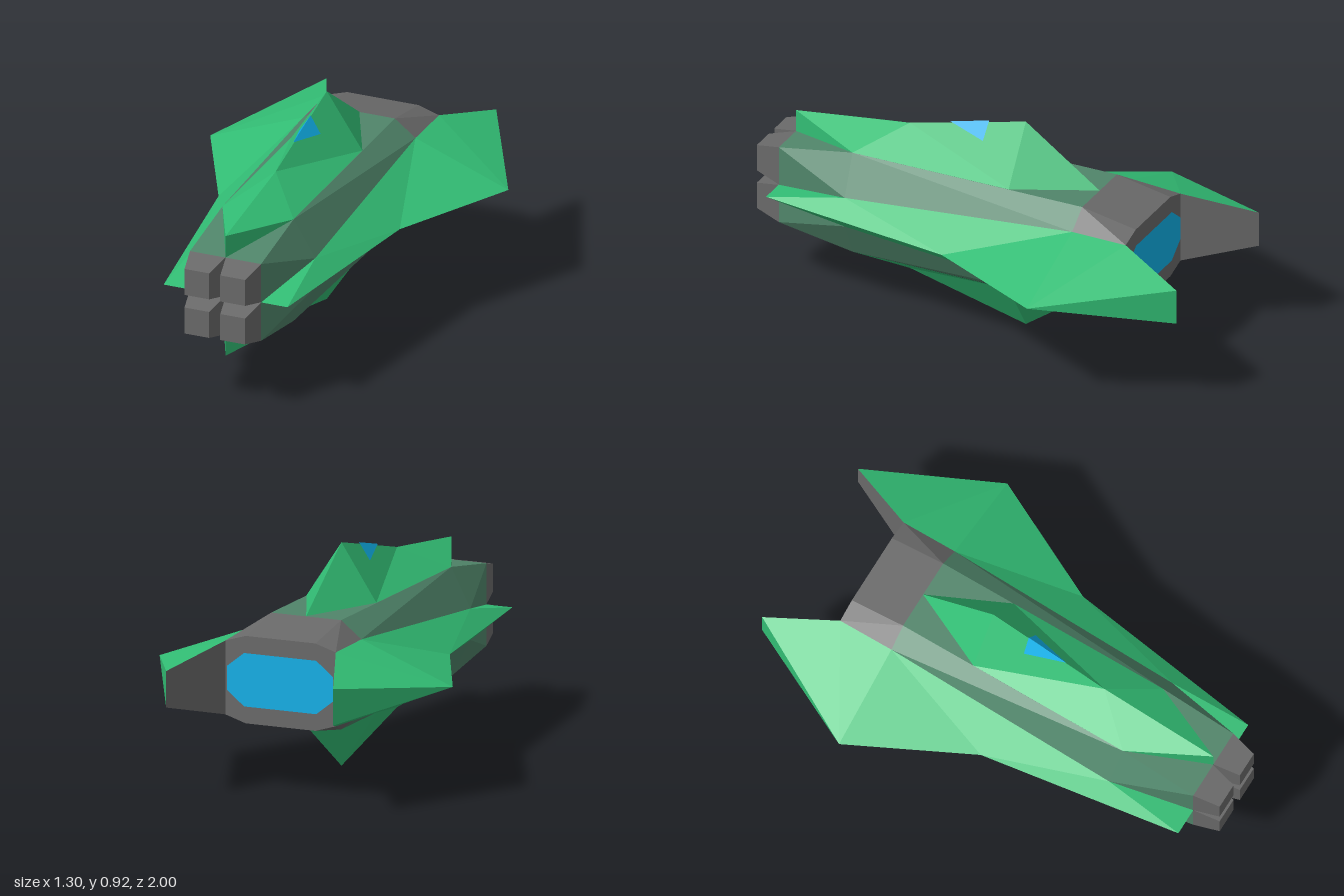
import * as THREE from 'three';

const mat = (name, color) => {
  const m = new THREE.MeshStandardMaterial({ color, flatShading: true });
  m.name = name;
  return m;
};

// Builds flat facets from one quarter (+x, +y) mirrored into the given quadrants.
// Each facet is [outward direction, corner, corner, corner, (corner)].
function panels(name, material, facets, quadrants) {
  const pos = [];
  const a = new THREE.Vector3(), b = new THREE.Vector3(), dir = new THREE.Vector3();
  for (const [sx, sy] of quadrants) {
    const s = new THREE.Vector3(sx, sy, 1);
    for (const [out, ...corners] of facets) {
      const p = corners.map(c => new THREE.Vector3(...c).multiply(s));
      dir.set(...out).multiply(s);
      for (let i = 1; i < p.length - 1; i++) {
        a.subVectors(p[i], p[0]);
        b.subVectors(p[i + 1], p[0]);
        const tri = a.cross(b).dot(dir) > 0 ? [p[0], p[i], p[i + 1]] : [p[0], p[i + 1], p[i]];
        tri.forEach(v => pos.push(v.x, v.y, v.z));
      }
    }
  }
  const g = new THREE.BufferGeometry();
  g.setAttribute('position', new THREE.Float32BufferAttribute(pos, 3));
  g.computeVertexNormals();
  const mesh = new THREE.Mesh(g, material);
  mesh.name = name;
  return mesh;
}

const X = [1, 0, 0], Y = [0, 1, 0], FRONT = [0, 0, 1], BACK = [0, 0, -1];

export function createModel() {
  const green = mat('green armour', 0x32bd74);
  const hullGreen = mat('grey green hull', 0x50856a);
  const grey = mat('grey metal', 0x696969);
  const blue = mat('blue glass', 0x10b0e8);

  const ship = new THREE.Group();
  ship.name = 'ship';
  const body = new THREE.Group();
  body.name = 'body';
  body.position.y = 0.46; // everything is symmetric about this height
  ship.add(body);

  const all = [[1, 1], [-1, 1], [1, -1], [-1, -1]];

  // Hull stations
  const noseTop = [0.155, 0.17, 0.89], noseSide = [0.155, 0, 0.89];
  const midTop = [0.155, 0.225, 0.56], midSide = [0.245, 0.065, 0.55];
  const aftTop = [0.155, 0.225, -0.47], aftSide = [0.245, 0.155, -0.47];
  const endTop = [0.155, 0.18, -0.71], endSide = [0.245, 0.152, -0.71];
  const mid = ([, y, z]) => [0, y, z];

  body.add(panels('hull', hullGreen, [
    [Y, mid(noseTop), noseTop, midTop, mid(midTop)],
    [X, noseTop, noseSide, midSide, midTop],
    [Y, mid(midTop), midTop, aftTop, mid(aftTop)],
    [X, midTop, midSide, aftSide],
    [X, midTop, aftSide, aftTop],
  ], all));

  body.add(panels('engineBlock', grey, [
    [Y, mid(aftTop), aftTop, endTop, mid(endTop)],
    [X, aftTop, aftSide, endSide, endTop],
    [BACK, [0, 0, -0.71], mid(endTop), endTop, endSide, [0.245, 0, -0.71]],
    [FRONT, [0, 0, 0.89], noseSide, noseTop, mid(noseTop)],
  ], all));

  // Glowing exhaust plate
  body.add(panels('exhaust', blue, [
    [BACK, [0, 0, -0.714], [0, 0.11, -0.714], [0.16, 0.11, -0.714],
      [0.235, 0.05, -0.714], [0.235, 0, -0.714]],
  ], all));

  // Four tapered nose blocks
  const x0 = 0.001, x1 = 0.155, y0 = 0.001, y1 = 0.17;
  const base = [[x0, y0], [x1, y0], [x1, y1], [x0, y1]].map(c => [...c, 0.89]);
  const tip = [[0.024, 0.028], [0.132, 0.028], [0.132, 0.143], [0.024, 0.143]].map(c => [...c, 1]);
  const sides = [[0, -1, 0], X, Y, [-1, 0, 0]].map((d, i) => {
    const j = (i + 1) % 4;
    return [d, base[i], base[j], tip[j], tip[i]];
  });
  body.add(panels('noseBlocks', grey, [[FRONT, ...tip], ...sides], all));

  // Side wings
  const w0 = [0.27, 0, 0.89], w1 = [0.395, 0, 0.04], w2 = [0.65, 0, -0.47];
  const w3 = [0.37, 0.075, -1], w3mid = [0.37, 0, -1];
  for (const [side, sx] of [['left', 1], ['right', -1]]) {
    const pair = [[sx, 1], [sx, -1]];
    body.add(panels(side + 'Wing', green, [
      [Y, noseSide, w0, midSide],
      [Y, w0, w1, midSide],
      [Y, midSide, w1, aftSide],
      [Y, w1, w2, aftSide],
      [Y, aftSide, w2, endSide],
      [Y, endSide, w2, w3],
      [X, w2, w3, w3mid],
    ], pair));
    body.add(panels(side + 'WingInnerPanel', grey, [
      [BACK, endSide, w3, w3mid, [0.245, 0, -0.71]],
    ], pair));
  }

  // Upper and lower fins
  const f0 = [0, 0.265, 0.89], f1 = [0, 0.33, 0.38], f2 = [0, 0.46, -0.14];
  const f3 = [0, 0.226, -0.47], c = [0.155, 0.226, -0.14];
  const finFacets = [
    [X, mid(noseTop), midTop, f0],
    [X, f0, midTop, f1],
    [X, f1, midTop, c],
    [X, f1, c, f2],
    [X, f2, c, f3],
  ];
  body.add(panels('upperFin', green, finFacets, [[1, 1], [-1, 1]]));
  body.add(panels('lowerFin', green, finFacets, [[1, -1], [-1, -1]]));

  // Cockpit glass lying on the upper ridge
  body.add(panels('cockpit', blue, [
    [X, [0, 0.381, 0.2], [0, 0.425, 0.025], [0.046, 0.353, 0.03]],
  ], [[1, 1], [-1, 1]]));

  return ship;
}
